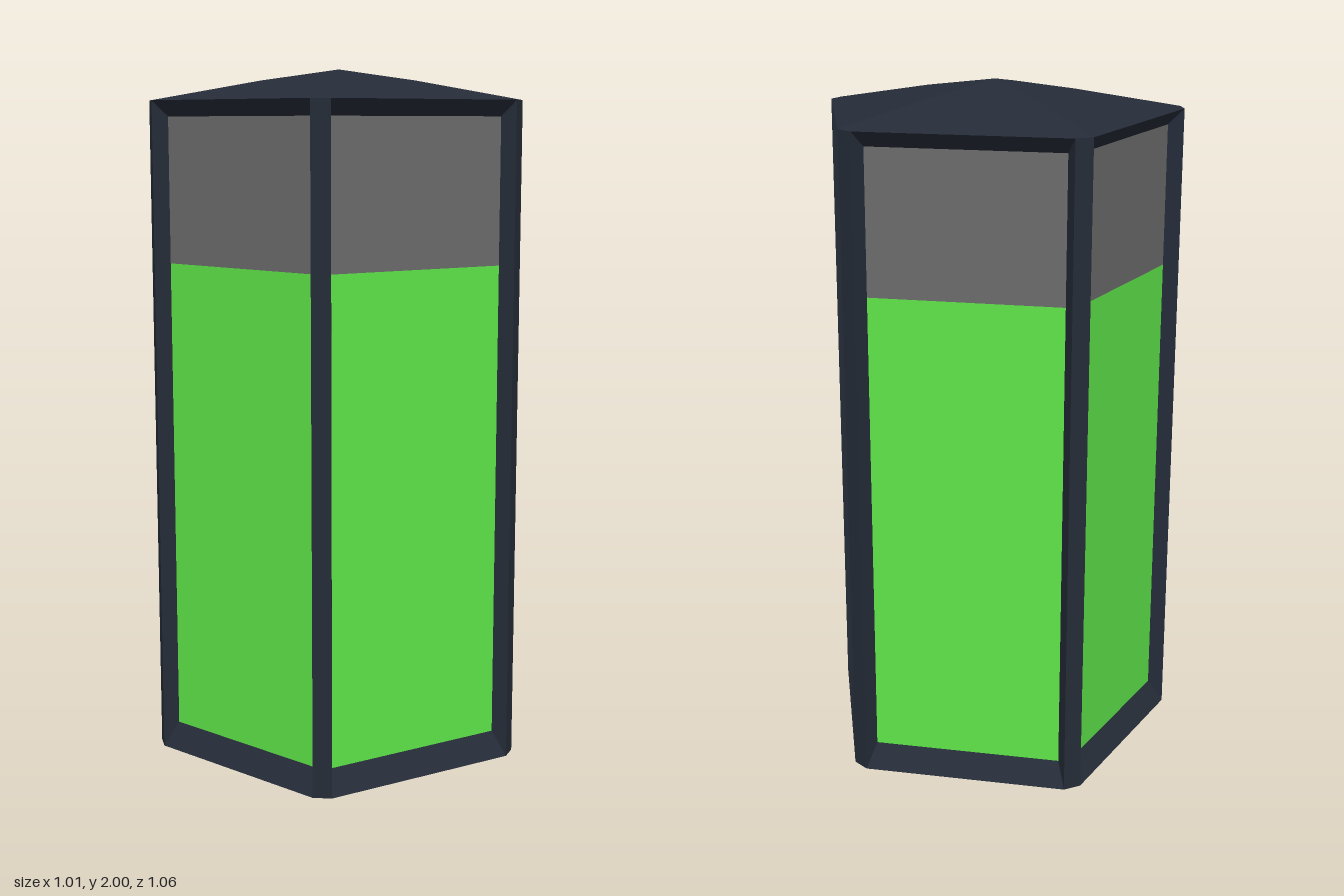
import * as THREE from 'three';

const SIDES = 5, STEP = (Math.PI * 2) / SIDES;
const CX = -0.047;                 // pentagon centre
const CORNER = 0.547, CUT = 0.027; // corner distance and half width of its chamfer
const FACE = CORNER * Math.cos(STEP / 2) + CUT * Math.sin(STEP / 2);
const HALF = CORNER * Math.sin(STEP / 2) - CUT * Math.cos(STEP / 2);
const EAVES = 1.91, APEX = 2, LEVEL = 1.45;
const INNER = HALF - 0.024, GLASS_Z = FACE - 0.04, GLASS_BOTTOM = 0.07, GLASS_TOP = 1.865;

const material = (color) => new THREE.MeshStandardMaterial({ color, flatShading: true });
const frameMat = material(0x252c38);
const liquidMat = material(0x5fe64a);
const glassMat = material(0x6c6c6c);

// Flat-shaded geometry from a list of polygons (fan triangulated)
function polygons(faces) {
  const pos = [];
  for (const f of faces)
    for (let i = 1; i < f.length - 1; i++) pos.push(...f[0], ...f[i], ...f[i + 1]);
  const g = new THREE.BufferGeometry();
  g.setAttribute('position', new THREE.Float32BufferAttribute(pos, 3));
  g.computeVertexNormals();
  return g;
}

// Upright rectangle facing +z, counter-clockwise from bottom left
const rect = (w, y0, y1, z) => [[-w, y0, z], [w, y0, z], [w, y1, z], [-w, y1, z]];

// Ten-sided outline: a pentagon with chamfered corners
function outline(scale, y) {
  const pts = [];
  for (let k = 0; k < SIDES; k++)
    for (const s of [-CUT, CUT]) {
      const c = Math.cos(k * STEP), n = Math.sin(k * STEP);
      pts.push([(CORNER * c - s * n) * scale, y, (CORNER * n + s * c) * scale]);
    }
  return pts;
}

export function createModel() {
  const model = new THREE.Group();
  const add = (name, geometry, mat, angle = 0) => {
    const mesh = new THREE.Mesh(geometry, mat);
    mesh.name = name;
    mesh.position.x = CX;
    mesh.rotation.y = angle;
    model.add(mesh);
  };

  // Window surround bevels inward from the outer edge to the glass
  const outer = rect(HALF, 0, EAVES, FACE);
  const inner = rect(INNER, GLASS_BOTTOM, GLASS_TOP, GLASS_Z);
  const surround = polygons(outer.map((p, i) => {
    const j = (i + 1) % 4;
    return [p, outer[j], inner[j], inner[i]];
  }));
  const post = polygons([rect(CUT, 0, EAVES, CORNER)]);
  const liquid = polygons([rect(INNER, GLASS_BOTTOM, LEVEL, GLASS_Z)]);
  const glass = polygons([rect(INNER, LEVEL, GLASS_TOP, GLASS_Z)]);

  for (let k = 0; k < SIDES; k++) {
    const corner = Math.PI / 2 - k * STEP, side = corner - STEP / 2;
    add('cornerPost', post, frameMat, corner);
    add('windowFrame', surround, frameMat, side);
    add('liquidPanel', liquid, liquidMat, side);
    add('emptyGlassPanel', glass, glassMat, side);
  }

  // Slightly domed roof
  const eaves = outline(1, EAVES), ring = outline(0.42, 1.967);
  const roof = [];
  eaves.forEach((p, i) => {
    const j = (i + 1) % eaves.length;
    roof.push([eaves[j], p, ring[i], ring[j]], [ring[j], ring[i], [0, APEX, 0]]);
  });
  add('roof', polygons(roof), frameMat);

  // Underside
  add('base', polygons([outline(1, 0)]), frameMat);
  return model;
}
